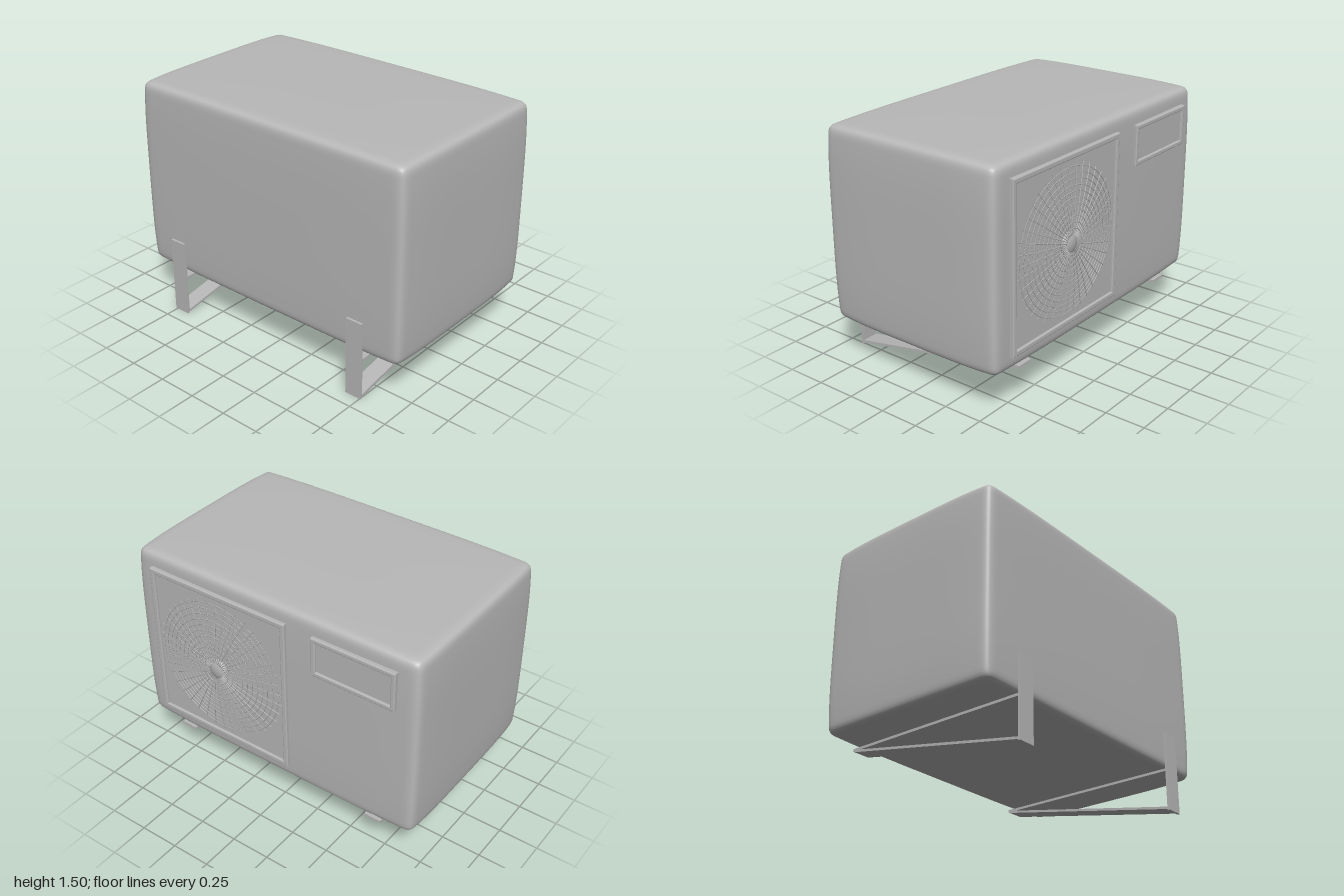
import * as THREE from 'three';
import { mergeVertices } from 'three/addons/utils/BufferGeometryUtils.js';

const metal = new THREE.MeshStandardMaterial({ color: 0xb8b8b8 });
metal.name = 'grey metal';

function part(name, geometry, parent) {
  const mesh = new THREE.Mesh(geometry, metal);
  mesh.name = name;
  parent.add(mesh);
  return mesh;
}

// Box with rounded edges and slightly bulging faces
function pillowBox(hx, hy, hz, radius) {
  const n = 32;
  const box = new THREE.BoxGeometry(2, 2, 2, n, n, n);
  box.deleteAttribute('uv');
  box.deleteAttribute('normal');
  const geometry = mergeVertices(box);
  const pos = geometry.attributes.position;
  const half = new THREE.Vector3(hx, hy, hz);
  const inner = half.clone().subScalar(radius);
  const p = new THREE.Vector3(), c = new THREE.Vector3();
  const spread = t => Math.sin(t * Math.PI / 2); // packs vertices near the edges
  for (let i = 0; i < pos.count; i++) {
    p.fromBufferAttribute(pos, i);
    p.set(spread(p.x), spread(p.y), spread(p.z)).multiply(half);
    c.copy(p).clamp(inner.clone().negate(), inner);
    p.sub(c).normalize().multiplyScalar(radius).add(c);
    const [u, v, w] = [p.x / hx, p.y / hy, p.z / hz].map(t => t ** 4);
    p.x *= 1 - 0.014 * (v + w);
    p.y *= 1 - 0.014 * (u + w);
    p.z *= 1 - 0.014 * (u + v);
    pos.setXYZ(i, p.x, p.y, p.z);
  }
  geometry.computeVertexNormals();
  return geometry;
}

// Raised bevelled border around a flat plate on the back face
function framedPanel(name, x0, x1, y0, y1, border, parent) {
  const group = new THREE.Group();
  group.name = name;
  const w = (x1 - x0) / 2, h = (y1 - y0) / 2, bevel = 0.006;
  const rect = (path, a, b) => {
    path.moveTo(-a, -b);
    path.lineTo(a, -b);
    path.lineTo(a, b);
    path.lineTo(-a, b);
    path.closePath();
    return path;
  };
  const shape = rect(new THREE.Shape(), w - bevel, h - bevel);
  shape.holes.push(rect(new THREE.Path(), w - border + bevel, h - border + bevel));
  const frame = new THREE.ExtrudeGeometry(shape, {
    depth: 0.028, bevelEnabled: true, bevelThickness: bevel, bevelSize: bevel, bevelSegments: 2
  });
  part(name + 'Frame', frame, group).position.z = -0.624;
  part(name + 'Plate', new THREE.BoxGeometry(2 * w - border, 2 * h - border, 0.03), group).position.z = -0.6;
  group.position.set((x0 + x1) / 2, (y0 + y1) / 2, 0);
  parent.add(group);
}

// Domed wire guard with rings, spokes and a rounded hub
function fanGuard(parent) {
  const guard = new THREE.Group();
  guard.name = 'fanGuard';
  guard.position.set(0.365, 0.89, 0);
  const outer = 0.46, wire = 0.0026;
  const dome = r => -0.618 - 0.037 * (1 - (r / outer) ** 2);
  const rings = 11;
  for (let i = 0; i < rings; i++) {
    const r = 0.09 + 0.35 * i / (rings - 1);
    part('guardRing', new THREE.TorusGeometry(r, wire, 5, 64), guard).position.z = dome(r);
  }
  const points = [];
  for (let i = 0; i <= 6; i++) {
    const r = 0.05 + (outer - 0.05) * i / 6;
    points.push(new THREE.Vector3(r, 0, dome(r)));
  }
  const spoke = new THREE.TubeGeometry(new THREE.CatmullRomCurve3(points), 12, wire, 5);
  const spokes = 40;
  for (let i = 0; i < spokes; i++) {
    part('guardSpoke', spoke, guard).rotation.z = i / spokes * Math.PI * 2;
  }
  const hub = part('guardHub', new THREE.SphereGeometry(0.07, 32, 16), guard);
  hub.scale.z = 0.4;
  hub.position.z = -0.632;
  parent.add(guard);
}

// Triangular wall bracket: upright, shelf and diagonal brace
function bracket(name, x, parent) {
  const group = new THREE.Group();
  group.name = name;
  group.position.x = x;
  const width = 0.11;
  const bar = (label, height, depth, y, z) => {
    const mesh = part(label, new THREE.BoxGeometry(width, height, depth), group);
    mesh.position.set(0, y, z);
    return mesh;
  };
  bar('upright', 0.5, 0.016, 0.25, 0.652);
  bar('shelf', 0.016, 1.23, 0.257, 0.03);
  const z0 = 0.647, y0 = 0.014, z1 = -0.575, y1 = 0.251;
  const brace = bar('brace', 0.015, Math.hypot(z1 - z0, y1 - y0), (y0 + y1) / 2, (z0 + z1) / 2);
  brace.rotation.x = Math.atan2(y1 - y0, z0 - z1);
  parent.add(group);
}

export function createModel() {
  const model = new THREE.Group();
  model.name = 'outdoorUnit';
  part('casing', pillowBox(1, 0.6175, 0.6225, 0.045), model).position.set(0, 0.8875, 0.0125);
  framedPanel('fanPanel', -0.13, 0.86, 0.375, 1.405, 0.032, model);
  framedPanel('servicePanel', -0.855, -0.31, 1.15, 1.4, 0.028, model);
  fanGuard(model);
  bracket('leftBracket', 0.7, model);
  bracket('rightBracket', -0.71, model);
  return model;
}
